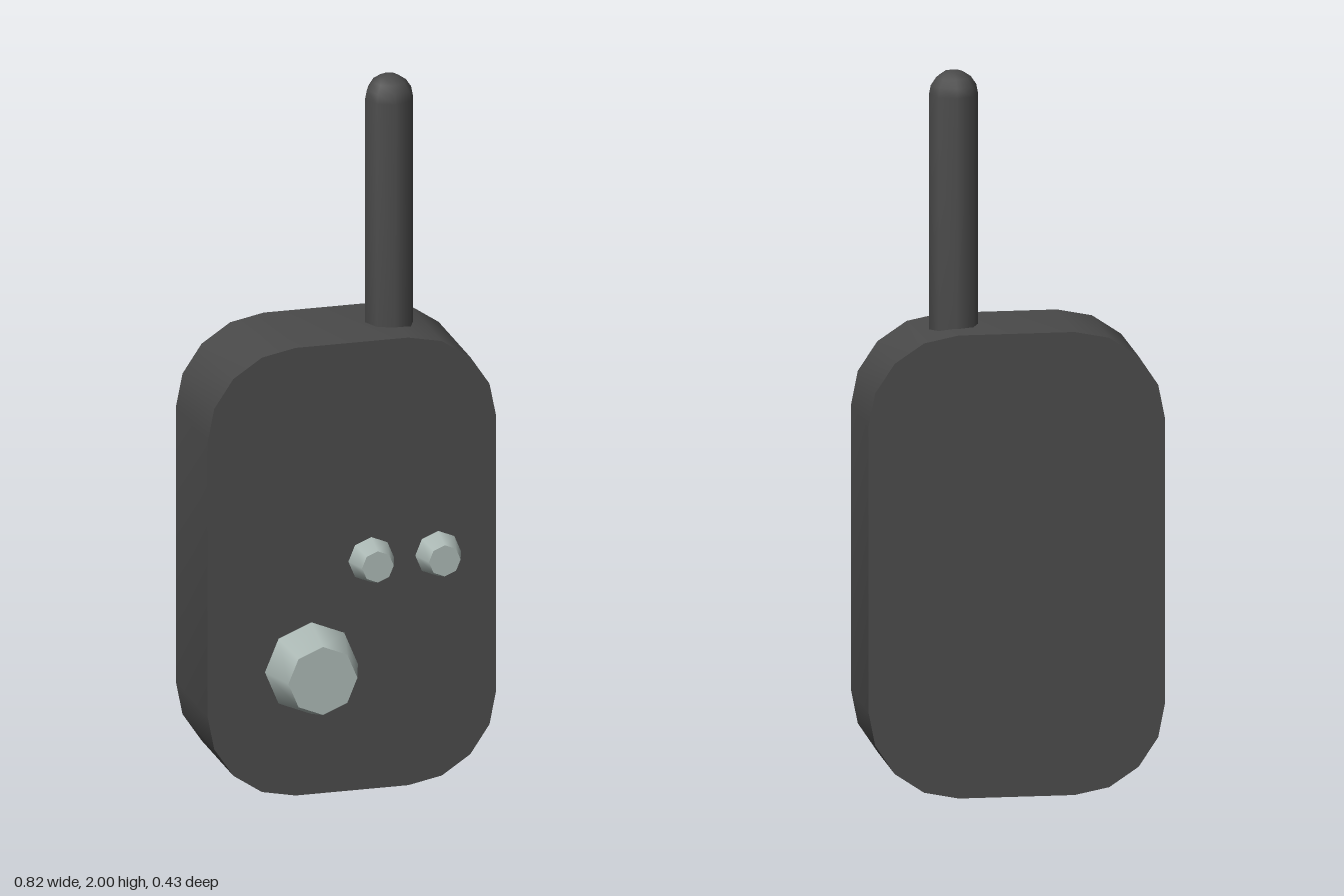
import * as THREE from 'three';
import { toCreasedNormals } from 'three/addons/utils/BufferGeometryUtils.js';

export function createModel() {
  const model = new THREE.Group();
  model.name = 'handheldRadio';

  const charcoal = new THREE.MeshStandardMaterial({ color: 0x4a4a4a });
  charcoal.name = 'charcoal';
  const paleGrey = new THREE.MeshStandardMaterial({ color: 0xabb8b4 });
  paleGrey.name = 'paleGrey';

  const add = (name, geometry, material, x, y, z) => {
    const mesh = new THREE.Mesh(geometry, material);
    mesh.name = name;
    mesh.position.set(x, y, z);
    model.add(mesh);
  };

  // Case: a slab whose corners are rounded in four steps
  const w = 0.41, h = 1.29, r = 0.25, back = -0.214, front = 0.1;
  const outline = new THREE.Shape();
  outline.absarc(w - r, h - r, r, 0, Math.PI / 2);
  outline.absarc(r - w, h - r, r, Math.PI / 2, Math.PI);
  outline.absarc(r - w, r, r, Math.PI, Math.PI * 1.5);
  outline.absarc(w - r, r, r, Math.PI * 1.5, Math.PI * 2);
  const slab = new THREE.ExtrudeGeometry(outline, {
    depth: front - back, bevelEnabled: false, curveSegments: 2,
  });
  add('case', toCreasedNormals(slab, 0.6), charcoal, 0, 0, back);

  // Antenna: an eight-sided rod with a domed tip, sunk into the case
  const rodRadius = 0.068, domeBase = 2 - rodRadius, foot = 1.2;
  const profile = [new THREE.Vector2(0, foot), new THREE.Vector2(rodRadius, foot)];
  for (let i = 0; i <= 4; i++) {
    const a = (i / 4) * Math.PI / 2;
    profile.push(new THREE.Vector2(
      i === 4 ? 0 : rodRadius * Math.cos(a), domeBase + rodRadius * Math.sin(a)));
  }
  const rod = new THREE.LatheGeometry(profile, 8);
  add('antenna', toCreasedNormals(rod, 1), charcoal, 0.151, 0, -0.059);

  // Knobs: eight-sided tapered pegs on the front face
  const addKnob = (name, x, y, baseRadius, tipRadius, depth) => {
    const knob = new THREE.CylinderGeometry(tipRadius, baseRadius, depth, 8);
    knob.rotateX(Math.PI / 2);
    add(name, knob, paleGrey, x, y, front + depth / 2);
  };
  addKnob('largeKnob', -0.115, 0.363, 0.132, 0.098, 0.114);
  addKnob('smallKnobRight', 0.055, 0.66, 0.065, 0.045, 0.066);
  addKnob('smallKnobLeft', 0.245, 0.66, 0.065, 0.045, 0.066);

  return model;
}
